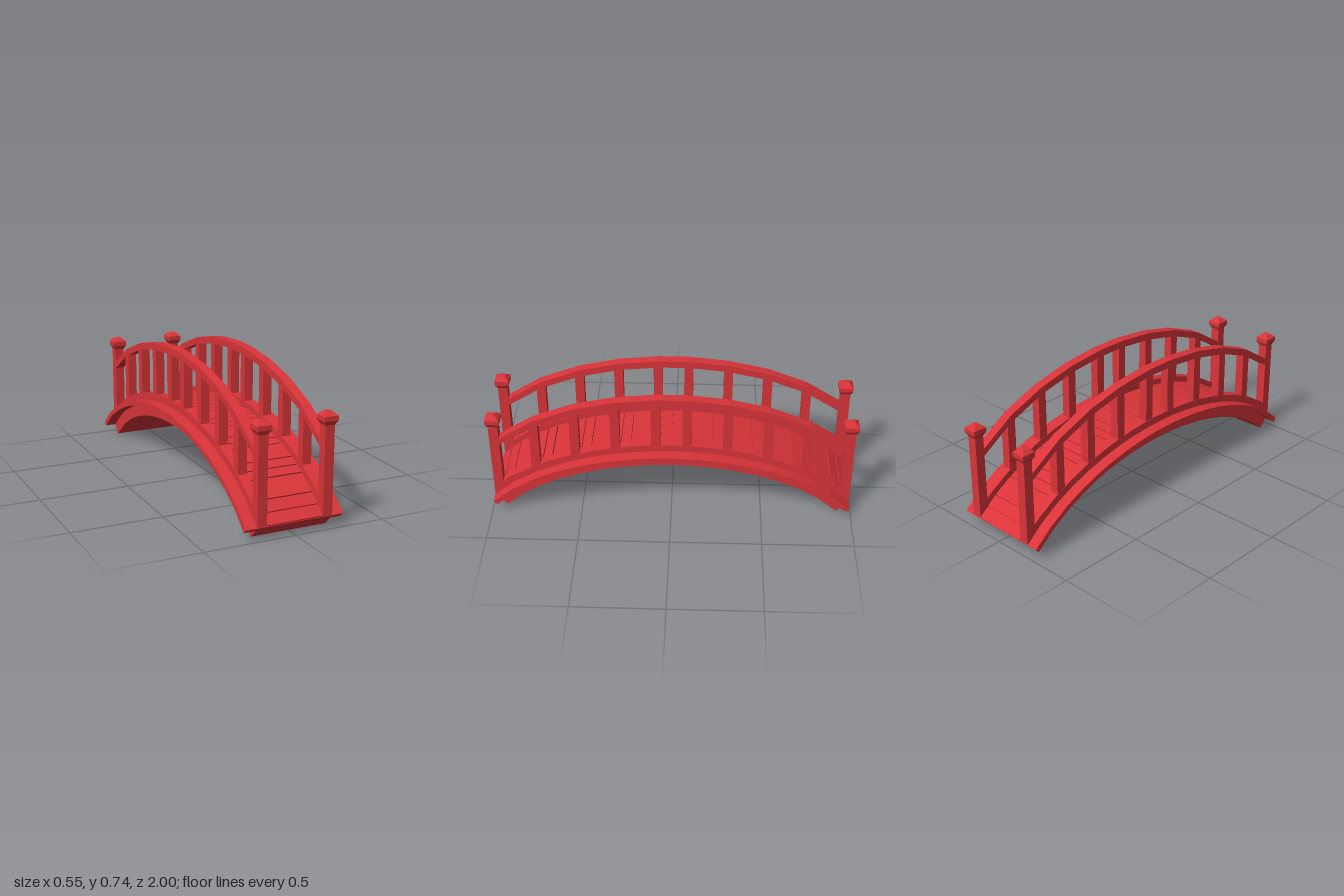
import * as THREE from 'three';

const red = new THREE.MeshStandardMaterial({ color: 0xd93439, flatShading: true });
const END = 0.99, SEGMENTS = 18, STEP = (2 * END) / SEGMENTS;
const RAIL_X = 0.183, RAIL_W = 0.053;

// Deck arch: part of an ellipse; offset is measured along its normal
function archPoint(z, offset = 0) {
  const a = 1.15, b = 0.676;
  const root = Math.sqrt(1 - (z / a) ** 2);
  const normal = new THREE.Vector2((b * z) / (a * a * root), 1).normalize();
  return new THREE.Vector2(z, b * root - 0.276).addScaledVector(normal, offset);
}

// Side profile between two point rows, extruded across the bridge
function band(name, top, bottom, width, x = 0) {
  const shape = new THREE.Shape([...bottom, ...top.slice().reverse()]);
  const geometry = new THREE.ExtrudeGeometry(shape, { depth: width, bevelEnabled: false });
  geometry.translate(0, 0, -width / 2).rotateY(-Math.PI / 2);
  const mesh = new THREE.Mesh(geometry, red);
  mesh.name = name;
  mesh.position.x = x;
  return mesh;
}

function box(name, w, h, d, x, y, z) {
  const mesh = new THREE.Mesh(new THREE.BoxGeometry(w, h, d), red);
  mesh.name = name;
  mesh.position.set(x, y, z);
  return mesh;
}

function endPost(x, z) {
  const post = new THREE.Group();
  post.name = 'endPost';
  post.add(box('postShaft', RAIL_W, 0.48, RAIL_W, 0, 0.31, 0));
  // Four-sided flared cap; half widths become corner radii
  const profile = [[0, 0.54], [0.0265, 0.54], [0.039, 0.563], [0.039, 0.588], [0.016, 0.608], [0, 0.611]]
    .map(([half, y]) => new THREE.Vector2(half * Math.SQRT2, y));
  const cap = new THREE.Mesh(new THREE.LatheGeometry(profile, 4, Math.PI / 4), red);
  cap.name = 'postCap';
  post.add(cap);
  post.position.set(x, 0, z);
  return post;
}

export function createModel() {
  const model = new THREE.Group();
  model.name = 'archedFootbridge';
  const stations = Array.from({ length: SEGMENTS + 1 }, (_, i) => -END + i * STEP);
  const row = (offset, zs = stations) => zs.map((z) => archPoint(z, offset));

  // Supporting arch and the wider deck slab on it
  model.add(band('supportArch', row(-0.028), row(-0.095), 0.42));
  model.add(band('deckSlab', row(0), row(-0.028), 0.546));

  // Planks: facets alternate between one wide plank and two narrow ones
  for (let i = 0; i < SEGMENTS; i++) {
    const a = archPoint(stations[i]), b = archPoint(stations[i + 1]);
    const fromEnd = Math.min(i, SEGMENTS - 1 - i);
    const count = fromEnd % 2 === 0 ? 2 : 1;
    const length = a.distanceTo(b) / count;
    for (let k = 0; k < count; k++) {
      const p = a.clone().lerp(b, (k + 0.5) / count);
      const plank = box('plank', 0.306, 0.018, length - 0.006, 0, p.y, p.x);
      plank.rotation.x = -Math.atan2(b.y - a.y, b.x - a.x);
      model.add(plank);
    }
  }

  // Rail points stand above the curb at each baluster and at the end posts
  const half = [0.085, 0.305, 0.525, 0.745];
  const balusterZ = [...half.map((z) => -z).reverse(), ...half];
  const railZ = [-0.945, ...balusterZ, 0.945];
  const curbZ = [-0.95, ...stations.slice(1, -1), 0.95];
  const railTop = railZ.map((z) => {
    const p = archPoint(z);
    return new THREE.Vector2(z, p.y + 0.3 + 0.04 * (1 + 0.2 * z * z));
  });
  const railBottom = railTop.map((p) => new THREE.Vector2(p.x, p.y - 0.04));

  for (const side of [-1, 1]) {
    const x = side * RAIL_X;
    model.add(band('curb', row(0.04, curbZ), row(-0.01, curbZ), RAIL_W, x));
    model.add(band('handrail', railTop, railBottom, RAIL_W, x));
    for (const z of balusterZ) {
      const foot = archPoint(z).y, height = 0.315;
      model.add(box('baluster', 0.05, height, 0.05, x, foot + height / 2, z));
    }
    for (const end of [-1, 1]) model.add(endPost(x, end * 0.962));
  }
  return model;
}
